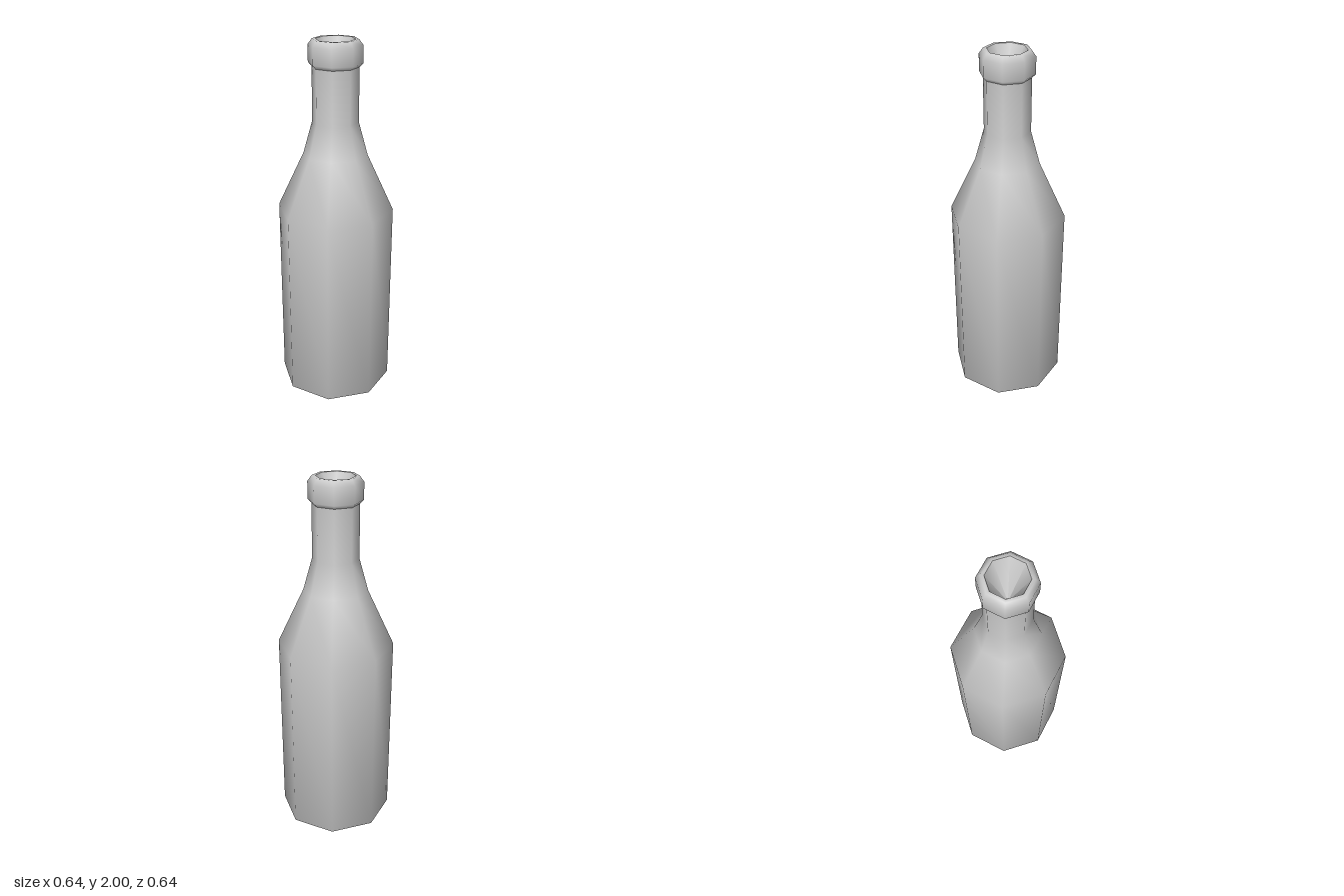
import * as THREE from 'three';

const SIDES = 8;

// Revolve a [radius, height] profile around y
function revolve(name, profile, material) {
  const points = profile.map(([r, y]) => new THREE.Vector2(r, y));
  const mesh = new THREE.Mesh(new THREE.LatheGeometry(points, SIDES), material);
  mesh.name = name;
  return mesh;
}

export function createModel() {
  const group = new THREE.Group();
  group.name = 'bottle';
  const material = new THREE.MeshStandardMaterial({ color: 0xcccccc });

  // Base, body, sloping shoulder and neck
  group.add(revolve('body', [
    [0, 0], [0.32, 0], [0.32, 1.08], [0.175, 1.39], [0.125, 1.57], [0.125, 1.865],
  ], material));

  // Thick collar with bevelled edges around the mouth
  group.add(revolve('lip', [
    [0.125, 1.86], [0.144, 1.88], [0.144, 1.97], [0.122, 2], [0.104, 2],
  ], material));

  // Hollow of the mouth, tapering to a point inside the neck
  group.add(revolve('mouth', [[0.104, 2], [0, 1.75]], material));

  return group;
}
